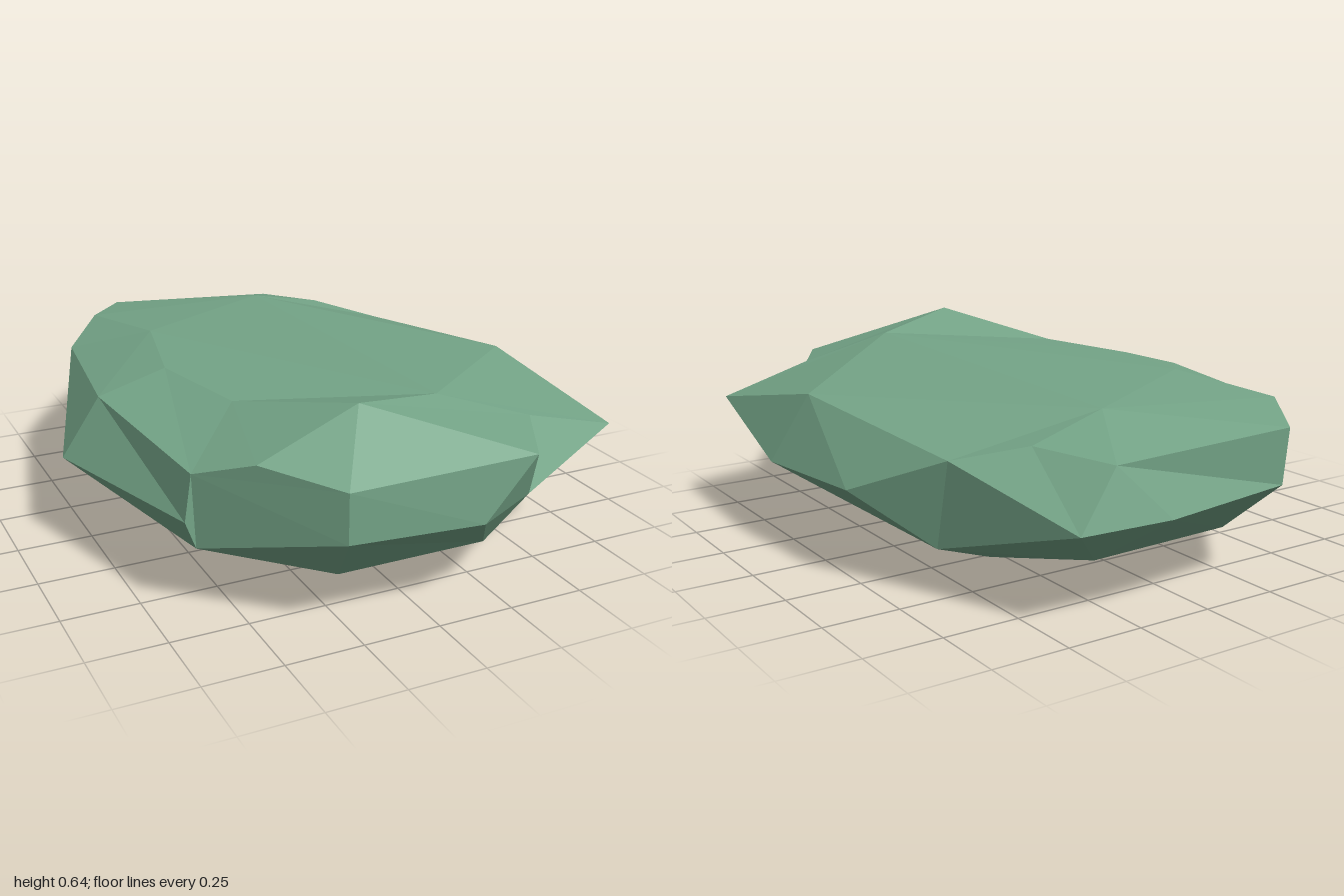
import * as THREE from 'three';

// Corner points of the boulder, grouped by height: [x, y, z]
const base = {
  a: [-0.31, 0.02, 0.34], b: [0.3, 0.06, 0.3], c: [0.29, 0, -0.27], d: [-0.32, 0.03, -0.27],
};
const belly = {
  e: [-0.64, 0.155, -0.2], f: [-0.61, 0.21, 0.62], g: [-0.25, 0.145, 0.83], h: [0.25, 0.145, 0.83],
  i: [0.62, 0.155, 0.55], j: [0.62, 0.16, -0.5], k: [0.26, 0.14, -0.79], l: [-0.26, 0.14, -0.77],
  m: [-0.61, 0.16, -0.46],
};
const waist = {
  A: [-0.83, 0.3, 0], B: [-0.65, 0.31, 0.64], C: [-0.29, 0.31, 0.97], D: [0.14, 0.3, 1],
  E: [0.35, 0.32, 0.91], F: [0.78, 0.41, 0.73], G: [0.825, 0.29, 0.23], H: [0.78, 0.3, -0.23],
  I: [0.61, 0.44, -0.55], J: [0.45, 0.3, -0.98], P: [0.14, 0.3, -1], K: [-0.31, 0.32, -0.97],
  L: [-0.49, 0.31, -0.73], M: [-0.62, 0.47, -0.59],
};
const rim = {
  n: [-0.7, 0.49, 0], o: [-0.62, 0.45, 0.62], p: [-0.29, 0.47, 0.97], q: [0.31, 0.49, 1],
  r: [0.45, 0.5, 0.75], s: [0.71, 0.515, 0.17], t: [0.42, 0.49, -0.7], u: [0.3, 0.47, -0.94],
  v: [-0.32, 0.5, -0.98], w: [-0.48, 0.53, -0.75],
};
const crown = {
  T: [-0.47, 0.555, 0], U: [-0.39, 0.555, 0.38], Q: [-0.48, 0.51, 0.77], R: [-0.16, 0.645, 0.77],
  S: [0.16, 0.59, 0.67], W: [0.14, 0.555, -0.66], X: [-0.39, 0.565, -0.37],
};
const points = { ...base, ...belly, ...waist, ...rim, ...crown };

// Cross-section loops from bottom to top; repeated letters collapse a quad to a triangle
const loops = [
  'daaabbbbcccccddd',
  'effghhiijjjkkllm',
  'ABfCDEFGHIJJPKLM',
  'noopqrFsIItuuvwM',
  'TUQRRSSsIIWWWWXX',
  'TURRRSSsssWWWWXX',
];

function createBoulderGeometry() {
  const positions = [];
  const face = (...names) => {
    if (new Set(names).size === 3) names.forEach((n) => positions.push(...points[n]));
  };
  const count = loops[0].length;
  const top = loops.length - 1;
  for (let col = 0; col < count; col++) {
    const next = (col + 1) % count;
    // Facets between neighbouring loops
    for (let row = 0; row < top; row++) {
      const lo = loops[row], hi = loops[row + 1];
      face(lo[col], lo[next], hi[col]);
      face(lo[next], hi[next], hi[col]);
    }
    // Fans closing the underside and the top
    face('a', loops[0][next], loops[0][col]);
    face('S', loops[top][col], loops[top][next]);
  }
  const geometry = new THREE.BufferGeometry();
  geometry.setAttribute('position', new THREE.Float32BufferAttribute(positions, 3));
  geometry.computeVertexNormals();
  return geometry;
}

export function createModel() {
  const group = new THREE.Group();
  group.name = 'rock';
  const stone = new THREE.MeshStandardMaterial({ color: 0x74a487, flatShading: true });
  stone.name = 'mossGreenStone';
  const boulder = new THREE.Mesh(createBoulderGeometry(), stone);
  boulder.name = 'boulder';
  group.add(boulder);
  return group;
}
